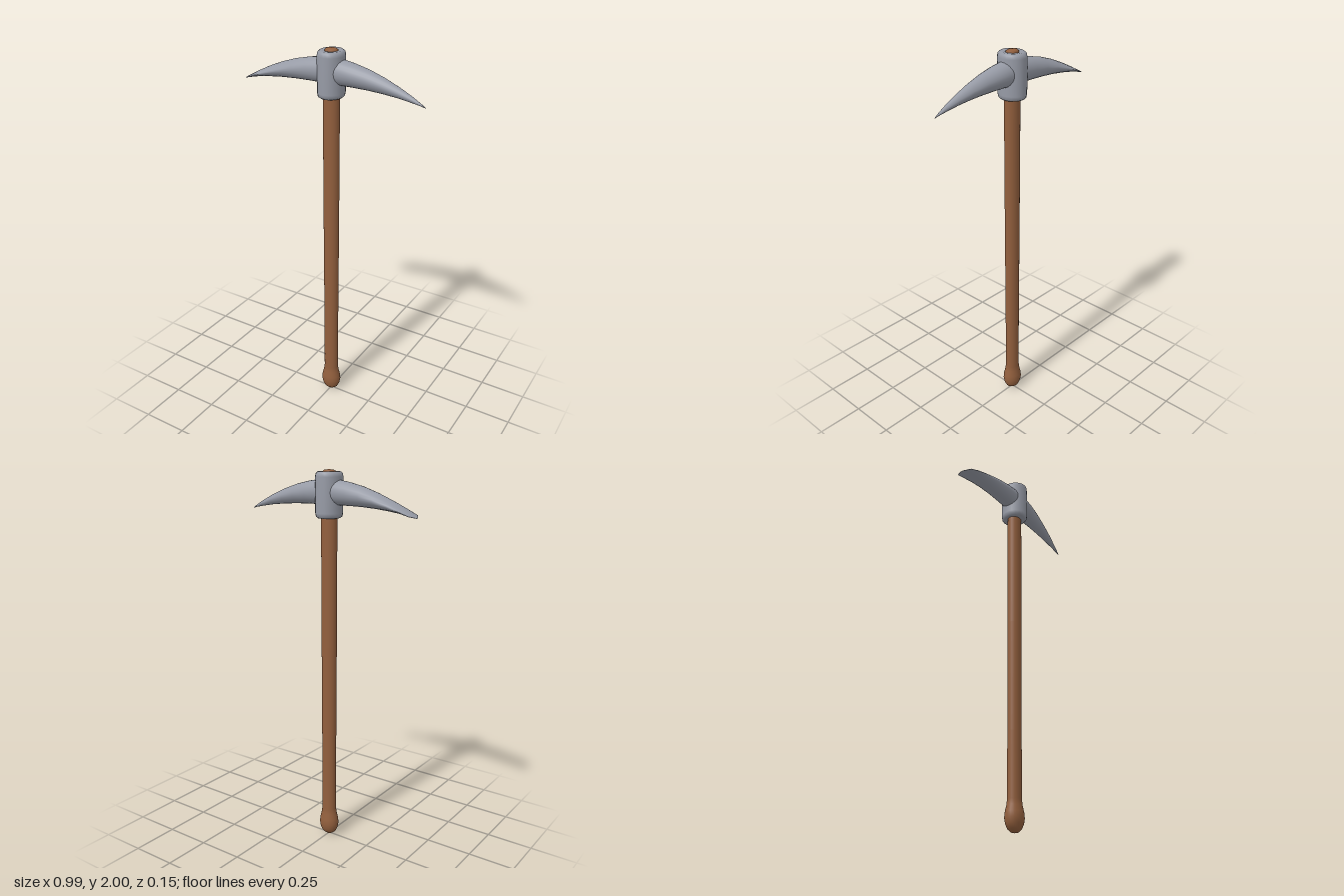
import * as THREE from 'three';

const SIDES = 24;

// Smooth-shaded turned part, stretched to an oval in plan
function turned(name, profile, sx, sz, material, segments = 28) {
  const geometry = new THREE.LatheGeometry(profile.map(([r, y]) => new THREE.Vector2(r, y)), segments);
  const mesh = new THREE.Mesh(geometry, material);
  mesh.scale.set(sx, 1, sz);
  mesh.name = name;
  return mesh;
}

// Loft along x through stations [x, top, bottom, halfWidth, sharpness];
// sharpness 1 is an ellipse, larger values pull it towards a diamond
function arm(name, stations, material) {
  const positions = [], index = [];
  for (const [x, top, bottom, half, sharp] of stations) {
    const mid = (top + bottom) / 2, rise = (top - bottom) / 2;
    for (let j = 0; j < SIDES; j++) {
      const a = (j / SIDES) * Math.PI * 2, c = Math.cos(a), s = Math.sin(a);
      positions.push(
        x,
        mid + rise * Math.sign(s) * Math.abs(s) ** sharp,
        half * Math.sign(c) * Math.abs(c) ** sharp
      );
    }
  }
  const flip = stations[stations.length - 1][0] < stations[0][0];
  for (let i = 0; i < stations.length - 1; i++) {
    for (let j = 0; j < SIDES; j++) {
      const k = (j + 1) % SIDES;
      const a = i * SIDES + j, b = a + SIDES, c = i * SIDES + k, d = c + SIDES;
      if (flip) index.push(a, c, b, b, c, d);
      else index.push(a, b, c, b, d, c);
    }
  }
  // Close the outer end
  const last = (stations.length - 1) * SIDES;
  for (let j = 1; j < SIDES - 1; j++) {
    if (flip) index.push(last, last + j + 1, last + j);
    else index.push(last, last + j, last + j + 1);
  }
  const geometry = new THREE.BufferGeometry();
  geometry.setAttribute('position', new THREE.Float32BufferAttribute(positions, 3));
  geometry.setIndex(index);
  geometry.computeVertexNormals();
  const mesh = new THREE.Mesh(geometry, material);
  mesh.name = name;
  return mesh;
}

export function createModel() {
  const wood = new THREE.MeshStandardMaterial({ color: 0x925f3d });
  const steel = new THREE.MeshStandardMaterial({ color: 0x979ba6 });
  const group = new THREE.Group();
  group.name = 'pickaxe';

  // Oval wooden shaft with a swollen grip end, passing through the head
  group.add(turned('handle', [
    [0, 0], [0.02, 0.004], [0.038, 0.018], [0.05, 0.042], [0.055, 0.07],
    [0.052, 0.098], [0.044, 0.13], [0.04, 0.16], [0.04, 0.5], [0.042, 1.1],
    [0.043, 1.75], [0.037, 1.96], [0.034, 1.99], [0.025, 1.997], [0, 2]
  ], 1, 0.85, wood));

  // Steel socket with rounded rims
  group.add(turned('socket', [
    [0.36, 1.765], [0.82, 1.765], [0.95, 1.772], [1, 1.79], [1, 1.965],
    [0.95, 1.982], [0.8, 1.99], [0.5, 1.988], [0.36, 1.98]
  ], 0.067, 0.075, steel, 20));

  // Pointed arm
  group.add(arm('pointedArm', [
    [0, 1.957, 1.828, 0.056, 1], [0.06, 1.951, 1.829, 0.056, 1], [0.12, 1.942, 1.829, 0.053, 1.05],
    [0.2, 1.924, 1.827, 0.044, 1.1], [0.28, 1.898, 1.822, 0.034, 1.15],
    [0.36, 1.865, 1.814, 0.023, 1.15], [0.43, 1.831, 1.803, 0.012, 1.15],
    [0.475, 1.805, 1.795, 0.005, 1.1], [0.495, 1.791, 1.789, 0.001, 1]
  ], steel));

  // Broad arm, flattening to a clipped chisel edge
  group.add(arm('chiselArm', [
    [0, 1.957, 1.828, 0.056, 1], [-0.06, 1.951, 1.829, 0.055, 1], [-0.12, 1.942, 1.829, 0.054, 1],
    [-0.2, 1.924, 1.827, 0.053, 1.05], [-0.28, 1.898, 1.822, 0.053, 1.15],
    [-0.36, 1.865, 1.814, 0.053, 1.2], [-0.42, 1.836, 1.806, 0.052, 1.2],
    [-0.475, 1.806, 1.795, 0.046, 1.2], [-0.499, 1.792, 1.789, 0.006, 1]
  ], steel));

  return group;
}
